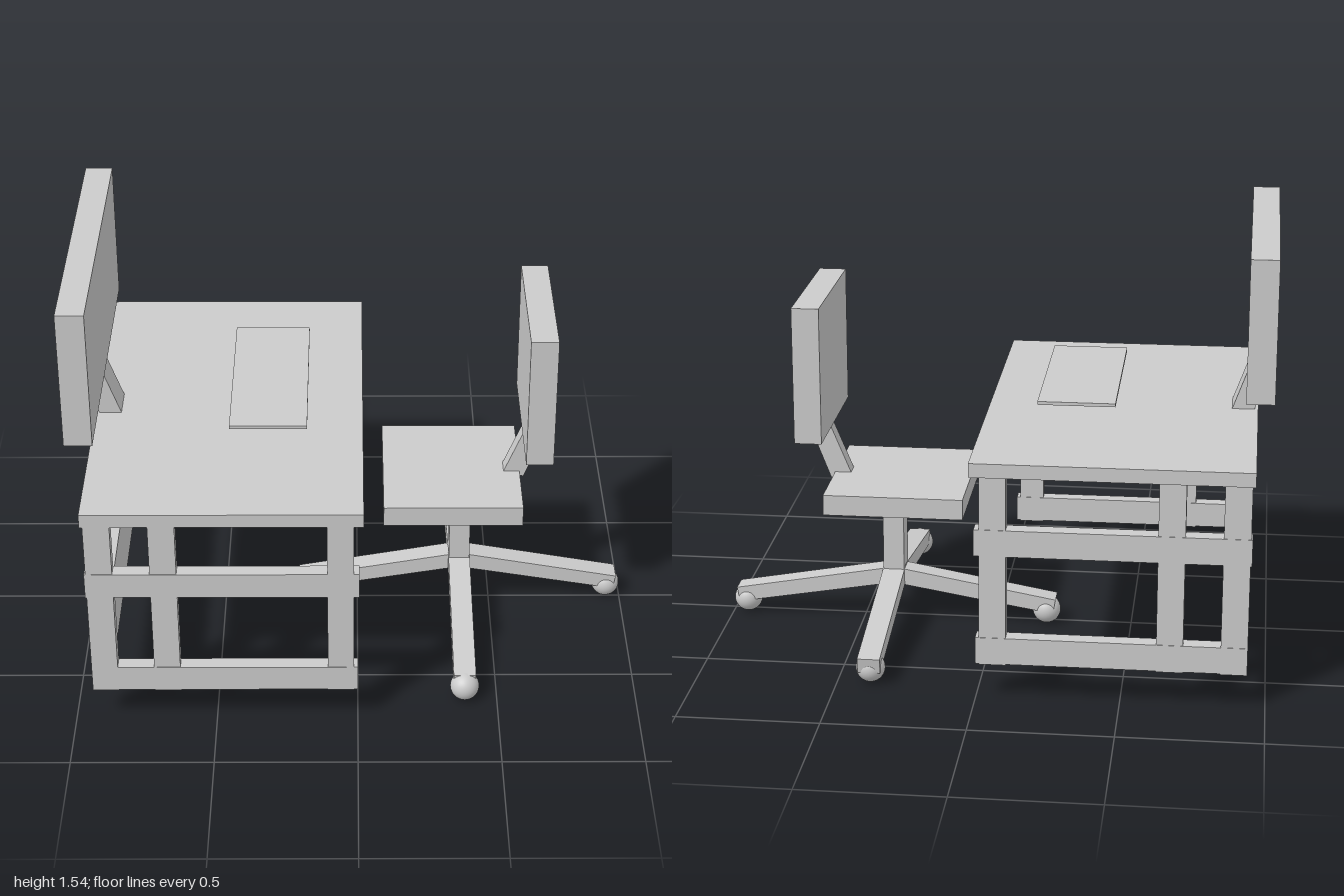
import * as THREE from 'three';

const material = new THREE.MeshStandardMaterial({ color: 0xcccccc, flatShading: true });
const smooth = new THREE.MeshStandardMaterial({ color: 0xcccccc });

// Box given by its extents on each axis
function box(parent, name, [x0, x1], [y0, y1], [z0, z1]) {
  const mesh = new THREE.Mesh(new THREE.BoxGeometry(x1 - x0, y1 - y0, z1 - z0), material);
  mesh.position.set((x0 + x1) / 2, (y0 + y1) / 2, (z0 + z1) / 2);
  mesh.name = name;
  parent.add(mesh);
  return mesh;
}

// Slanted bar: a profile in x/y pulled along z
function bar(parent, name, points, z0, z1) {
  const shape = new THREE.Shape(points.map(([x, y]) => new THREE.Vector2(x, y)));
  const geometry = new THREE.ExtrudeGeometry(shape, { depth: z1 - z0, bevelEnabled: false });
  const mesh = new THREE.Mesh(geometry, material);
  mesh.position.z = z0;
  mesh.name = name;
  parent.add(mesh);
  return mesh;
}

function createDesk() {
  const desk = new THREE.Group();
  desk.name = 'desk';
  box(desk, 'desktop', [-0.945, 0.02], [0.82, 0.87], [-0.76, 0.757]);

  // Two ladder-like side frames
  for (const [name, z0, z1] of [['leftFrame', 0.707, 0.757], ['rightFrame', -0.74, -0.685]]) {
    const frame = new THREE.Group();
    frame.name = name;
    for (const x of [-0.935, -0.715, -0.105]) {
      box(frame, 'post', [x, x + 0.092], [0.132, 0.82], [z0, z1]);
    }
    box(frame, 'middleRail', [-0.94, 0.005], [0.532, 0.627], [z0 - 0.002, z1 + 0.002]);
    box(frame, 'bottomRail', [-0.93, 0], [0.136, 0.232], [z0 - 0.002, z1 + 0.002]);
    desk.add(frame);
  }

  // Cross members between the back posts
  box(desk, 'upperStretcher', [-0.92, -0.86], [0.723, 0.82], [-0.69, 0.71]);
  box(desk, 'lowerBackPanel', [-0.92, -0.86], [0.22, 0.502], [-0.69, 0.71]);
  return desk;
}

function createComputer() {
  const computer = new THREE.Group();
  computer.name = 'computer';
  box(computer, 'monitor', [-1, -0.902], [1.042, 1.545], [-0.545, 0.59]);
  bar(computer, 'monitorNeck', [[-0.93, 0.865], [-0.85, 0.865], [-0.915, 1.045], [-0.995, 1.045]], -0.05, 0.08);
  box(computer, 'keyboard', [-0.45, -0.177], [0.96, 0.972], [-0.365, 0.345]);
  return computer;
}

function createChair() {
  const chair = new THREE.Group();
  chair.name = 'chair';
  box(chair, 'seat', [0.095, 0.6], [0.5, 0.575], [-0.31, 0.265]);
  box(chair, 'backrest', [0.602, 0.7], [0.765, 1.265], [-0.302, 0.275]);
  bar(chair, 'backSupport', [[0.54, 0.573], [0.615, 0.553], [0.698, 0.768], [0.62, 0.768]], -0.047, 0.015);
  box(chair, 'column', [0.345, 0.422], [0.16, 0.5], [-0.063, 0.037]);

  // Four sloping legs, each ending in a ball caster
  const base = new THREE.Group();
  base.name = 'base';
  base.position.set(0.384, 0, -0.02);
  [[0.562, 0.598], [0.607, 0.66], [0.569, 0.605], [0.652, 0.66]].forEach(([reach, length], i) => {
    const arm = new THREE.Group();
    arm.name = 'leg' + (i + 1);
    bar(arm, 'legBar', [[0, 0.15], [length - 0.01, 0.05], [length, 0.105], [0, 0.212]], -0.04, 0.04);
    const caster = new THREE.Mesh(new THREE.SphereGeometry(0.052, 32, 20), smooth);
    caster.name = 'caster';
    caster.position.set(reach, 0.055, 0);
    arm.add(caster);
    arm.rotation.y = i * Math.PI / 2;
    base.add(arm);
  });
  chair.add(base);
  return chair;
}

export function createModel() {
  const model = new THREE.Group();
  model.name = 'deskWithChair';
  model.add(createDesk(), createComputer(), createChair());
  return model;
}
